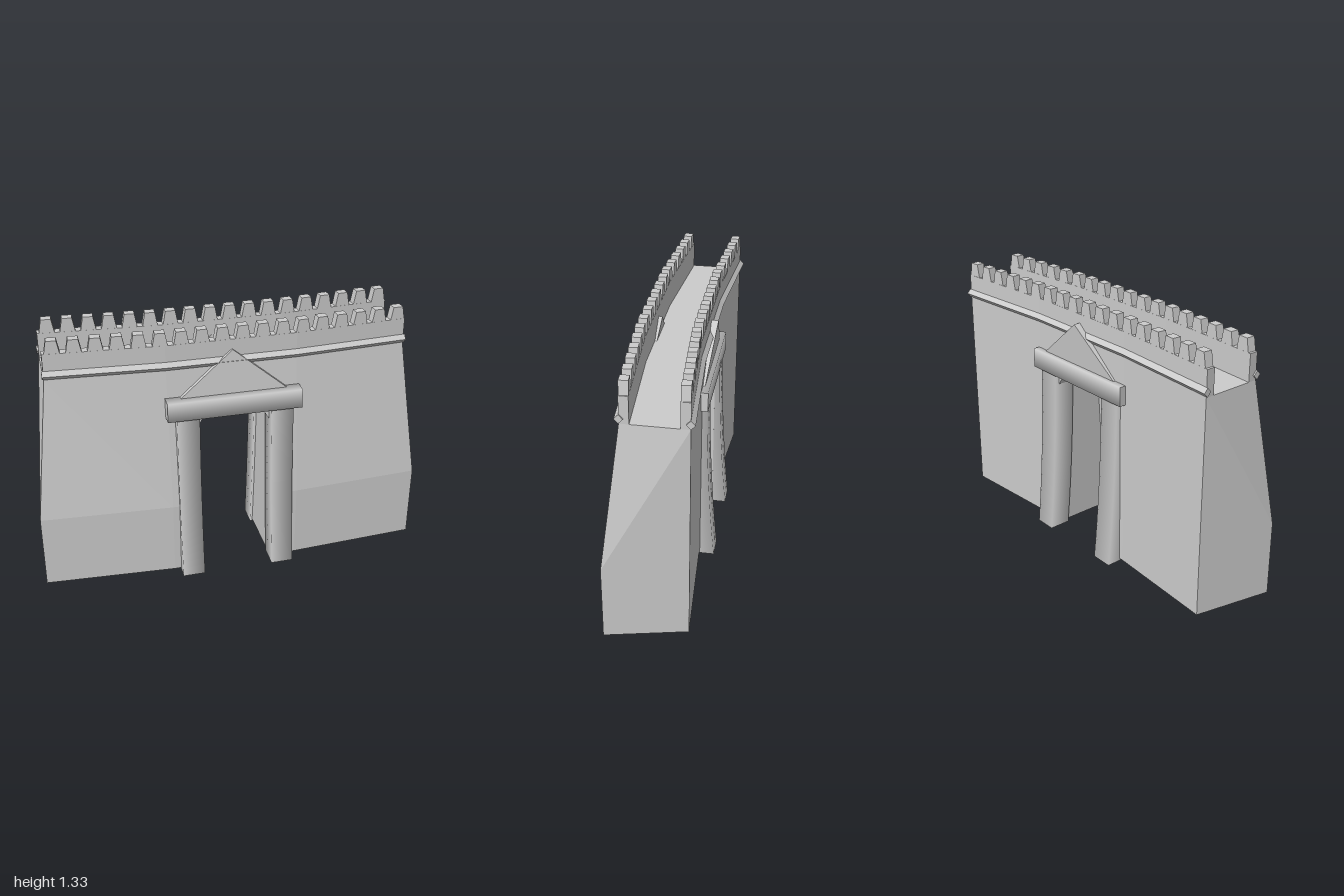
import * as THREE from 'three';

const grey = new THREE.MeshStandardMaterial({ color: 0xcccccc });
const flat = new THREE.MeshStandardMaterial({ color: 0xcccccc, flatShading: true });
const lerp = THREE.MathUtils.lerp;

// The wall bends backward toward both ends
const bend = (x) => -0.04 * Math.max(0, (Math.abs(x) - 0.33) / 0.58);
const FRONT = 0.12, BACK = -0.19, FLOOR = 1.13, KNEE = 0.4, END = 0.91, JAMB = 0.19;

function add(group, name, geometry, material = flat) {
  const mesh = new THREE.Mesh(geometry, material);
  mesh.name = name;
  group.add(mesh);
  return mesh;
}

// Joins rings running along +x; each ring is ordered top, front, bottom, back
function loft(rings, capped = true) {
  const out = [];
  const tri = (a, b, c) => out.push(...a, ...b, ...c);
  const n = rings[0].length;
  for (let r = 0; r + 1 < rings.length; r++) {
    const a = rings[r], b = rings[r + 1];
    for (let i = 0; i < n; i++) {
      const j = (i + 1) % n;
      tri(a[i], a[j], b[j]);
      tri(a[i], b[j], b[i]);
    }
  }
  if (capped) {
    const a = rings[0], b = rings[rings.length - 1];
    for (let i = 1; i + 1 < n; i++) {
      tri(a[0], a[i + 1], a[i]);
      tri(b[0], b[i], b[i + 1]);
    }
  }
  const g = new THREE.BufferGeometry();
  g.setAttribute('position', new THREE.Float32BufferAttribute(out, 3));
  g.computeVertexNormals();
  return g;
}

// Wall section: battered front, upright back, ends splayed at the front
function wallRing(x, bottom) {
  const b = bend(x);
  const frontPoint = (y) => {
    const t = Math.max(0, (y - KNEE) / (FLOOR - KNEE));
    const splay = Math.abs(x) === END ? 1 + (1 - t) * 0.09 / END : 1;
    return [x * splay, y, lerp(0.205, FRONT, t) + b];
  };
  return [
    [x, FLOOR, BACK + b], frontPoint(FLOOR),
    frontPoint(Math.max(KNEE, bottom)), frontPoint(bottom),
    [x, bottom, BACK + b],
  ];
}

// A straight-sided section swept along the bend
const sweep = (end, section) => loft([-end, -0.33, 0.33, end].map(
  (x) => section.map(([z, y]) => [x, y, z + bend(x)])));

// Square bar with softened shading, unit size, standing along y
const softBar = (segments) => new THREE.CylinderGeometry(
  Math.SQRT1_2, Math.SQRT1_2, 1, 4, segments).rotateY(Math.PI / 4);

function pillar(lean) {
  const g = softBar(10).scale(0.115, 0.92, 0.115).translate(0, 0.46, 0);
  const p = g.attributes.position;
  for (let i = 0; i < p.count; i++) p.setZ(i, p.getZ(i) + lean(p.getY(i) / 0.9));
  return g;
}

function gable(z) {
  const s = new THREE.Shape([[-0.275, 0.985], [0.28, 0.985], [0, 1.215]]
    .map(([x, y]) => new THREE.Vector2(x, y)));
  const g = new THREE.ExtrudeGeometry(s, { depth: 0.078, bevelEnabled: false }).translate(0, 0, z);
  const p = g.attributes.position;
  for (let i = 0; i < p.count; i++) p.setZ(i, p.getZ(i) - 0.025 * (p.getY(i) - 0.985) / 0.23);
  return g;
}

// Tooth of the battlement, narrower at its top
function merlonGeometry() {
  const g = new THREE.BoxGeometry(0.078, 0.075, 0.044);
  const p = g.attributes.position;
  for (let i = 0; i < p.count; i++) if (p.getY(i) > 0) p.setX(i, p.getX(i) * 0.64);
  return g;
}

export function createModel() {
  const model = new THREE.Group();
  model.name = 'gatehouse';

  // Wall on both sides of the gateway, and the span above it
  add(model, 'rightWall', loft([-END, -0.33, -JAMB].map((x) => wallRing(x, 0.012))));
  add(model, 'leftWall', loft([JAMB, 0.33, END].map((x) => wallRing(x, 0.012))));
  add(model, 'archSpan', loft([[-JAMB, 0.815], [-0.13, 0.91], [0.13, 0.91], [JAMB, 0.815]]
    .map(([x, b]) => wallRing(x, b)), false));

  // Parapets, moldings and battlements
  const tooth = merlonGeometry();
  const sides = [
    { name: 'front', outer: FRONT, z0: FRONT - 0.045, z1: FRONT, top: 1.265 },
    { name: 'back', outer: BACK, z0: BACK, z1: BACK + 0.045, top: 1.26 },
  ];
  for (const { name, outer, z0, z1, top } of sides) {
    add(model, name + 'Parapet', sweep(END, [[z0, top], [z1, top], [z1, 1.12], [z0, 1.12]]));
    add(model, name + 'Molding', sweep(0.918, [
      [outer, 1.178], [outer + 0.02, 1.156], [outer, 1.134], [outer - 0.02, 1.156]]));
    const row = new THREE.Group();
    row.name = name + 'Battlement';
    model.add(row);
    for (let i = 0; i < 18; i++) {
      const x = lerp(-0.86, 0.868, i / 17);
      const merlon = add(row, 'merlon', tooth);
      merlon.position.set(x, 1.2925, (z0 + z1) / 2 + bend(x));
      if (Math.abs(x) > 0.33) merlon.rotation.y = Math.sign(x) * 0.069;
    }
  }

  // Leaning pillars, lintel and gable on each face of the gateway
  const gates = [
    { name: 'front', lean: (t) => 0.207 - 0.13 * t + 0.06 * t * t, lintelZ: 0.166, gableZ: 0.08, xs: [-0.238, 0.243] },
    { name: 'back', lean: (t) => -0.207 + 0.09 * t - 0.04 * t * t, lintelZ: -0.188, gableZ: -0.2, xs: [-0.248, 0.235] },
  ];
  for (const { name, lean, lintelZ, gableZ, xs } of gates) {
    for (const x of xs) add(model, name + 'Pillar', pillar(lean), grey).position.x = x;
    const bar = softBar(1).rotateZ(Math.PI / 2).scale(0.685, 0.1, 0.075);
    add(model, name + 'Lintel', bar, grey).position.set(0, 0.942, lintelZ);
    add(model, name + 'Gable', gable(gableZ));
  }
  return model;
}
